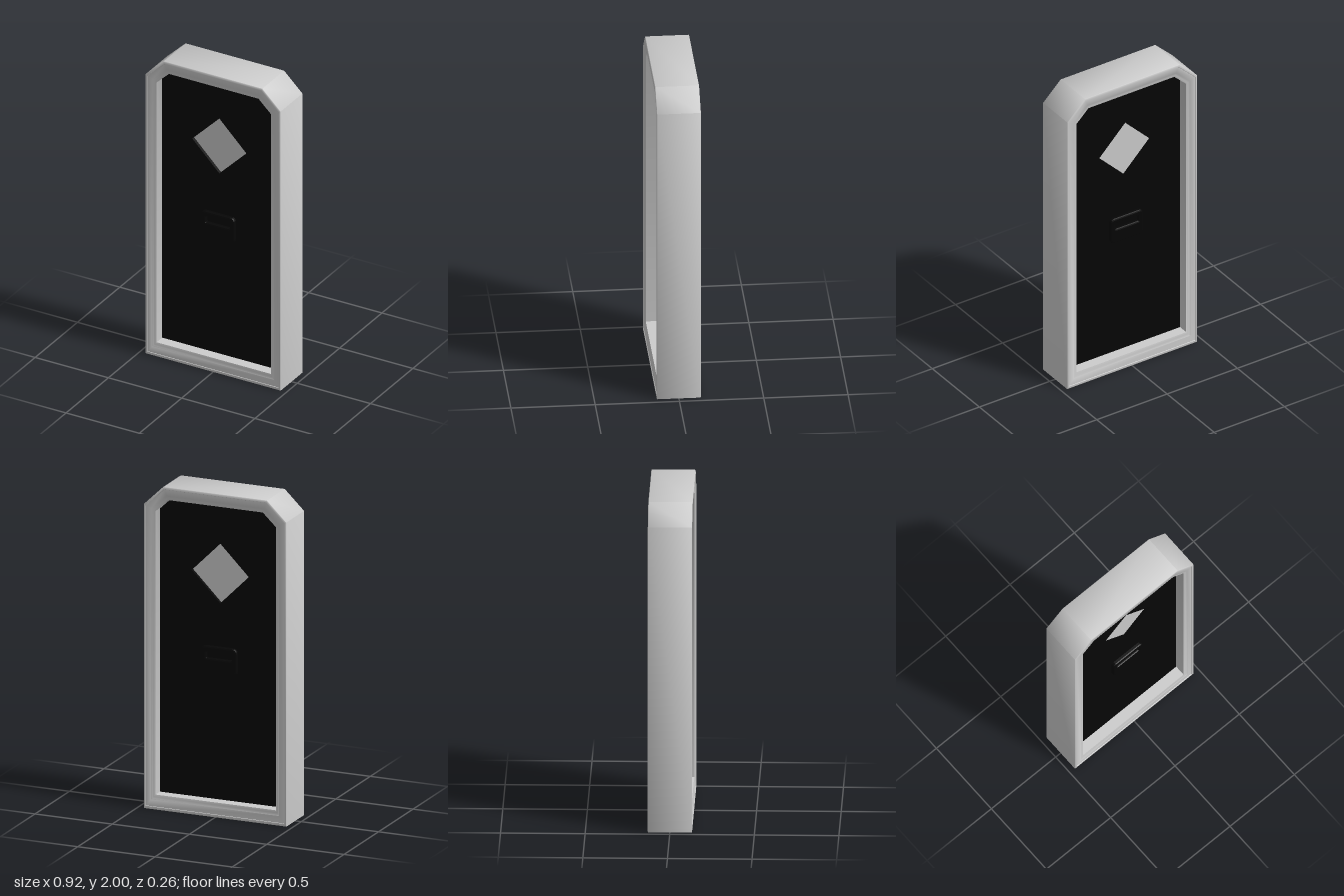
import * as THREE from 'three';
import { toCreasedNormals } from 'three/addons/utils/BufferGeometryUtils.js';

const grey = new THREE.MeshStandardMaterial({ color: 0xcccccc });
const black = new THREE.MeshStandardMaterial({ color: 0x060606 });

// Outline with clipped top corners, counter-clockwise from the front
const outline = (w, bottom, top, cx, cy) => [
  [-w, bottom], [w, bottom], [w, top - cy], [w - cx, top], [-w + cx, top], [-w, top - cy],
];
const outer = outline(0.461, 0, 2, 0.125, 0.12);
const inner = outline(0.39, 0.09, 1.92, 0.085, 0.08);

// Sweep a stepped profile [inset 0..1, z] round the outline as a closed ring
function frameGeometry() {
  const front = [[0, 0.128], [0.04, 0.131], [0.18, 0.131], [0.2, 0.128], [0.66, 0.128], [0.7, 0.125], [0.86, 0.125], [1, 0.121]];
  const back = front.map(([t, z]) => [t, -z]).reverse();
  const profile = [...front, ...back];
  const n = outer.length, m = profile.length;
  const pos = [], index = [];
  for (let i = 0; i < n; i++) {
    for (const [t, z] of profile) {
      pos.push(
        THREE.MathUtils.lerp(outer[i][0], inner[i][0], t),
        THREE.MathUtils.lerp(outer[i][1], inner[i][1], t), z);
    }
  }
  for (let i = 0; i < n; i++) {
    for (let j = 0; j < m; j++) {
      const i2 = (i + 1) % n, j2 = (j + 1) % m;
      const a = i * m + j, b = i2 * m + j, c = i2 * m + j2, d = i * m + j2;
      index.push(a, b, c, a, c, d);
    }
  }
  const g = new THREE.BufferGeometry();
  g.setAttribute('position', new THREE.Float32BufferAttribute(pos, 3));
  g.setIndex(index);
  return toCreasedNormals(g, 0.87);
}

function roundedRect(Type, w, h, r, cy = 0) {
  const s = new Type(), x = w / 2, top = cy + h / 2, low = cy - h / 2;
  s.moveTo(-x + r, low);
  s.lineTo(x - r, low).quadraticCurveTo(x, low, x, low + r);
  s.lineTo(x, top - r).quadraticCurveTo(x, top, x - r, top);
  s.lineTo(-x + r, top).quadraticCurveTo(-x, top, -x, top - r);
  s.lineTo(-x, low + r).quadraticCurveTo(-x, low, -x + r, low);
  return s;
}

function add(parent, name, geometry, material) {
  const mesh = new THREE.Mesh(geometry, material);
  mesh.name = name;
  parent.add(mesh);
  return mesh;
}

export function createModel() {
  const model = new THREE.Group();
  model.name = 'door';

  add(model, 'frame', frameGeometry(), grey);

  // Recessed slab with a diamond opening
  const vec = ([x, y]) => new THREE.Vector2(x, y);
  const half = 0.185, windowY = 1.487, panelZ = 0.055;
  const slab = new THREE.Shape(inner.map(vec));
  slab.holes.push(new THREE.Path([
    [half, windowY], [0, windowY + half], [-half, windowY], [0, windowY - half],
  ].map(vec)));
  const slabGeo = new THREE.ExtrudeGeometry(slab, { depth: panelZ * 2, bevelEnabled: false });
  slabGeo.translate(0, 0, -panelZ);
  add(model, 'doorPanel', slabGeo, black);

  // Window pane set back inside the opening
  const side = half * Math.SQRT2;
  const pane = add(model, 'window', new THREE.BoxGeometry(side, side, 0.07), grey);
  pane.position.y = windowY;
  pane.rotation.z = Math.PI / 4;

  // Handle on each face: bevelled plate with a finger slot
  const plate = roundedRect(THREE.Shape, 0.21, 0.15, 0.02);
  plate.holes.push(roundedRect(THREE.Path, 0.185, 0.06, 0.015, 0.03));
  const plateGeo = new THREE.ExtrudeGeometry(plate, {
    depth: 0.015, bevelThickness: 0.008, bevelSize: 0.01, bevelSegments: 2, curveSegments: 4,
  });
  for (const turn of [0, Math.PI]) {
    const handle = new THREE.Group();
    handle.name = turn ? 'backHandle' : 'frontHandle';
    add(handle, 'handlePlate', plateGeo, black).position.set(0, 0.95, panelZ);
    handle.rotation.y = turn;
    model.add(handle);
  }
  return model;
}
